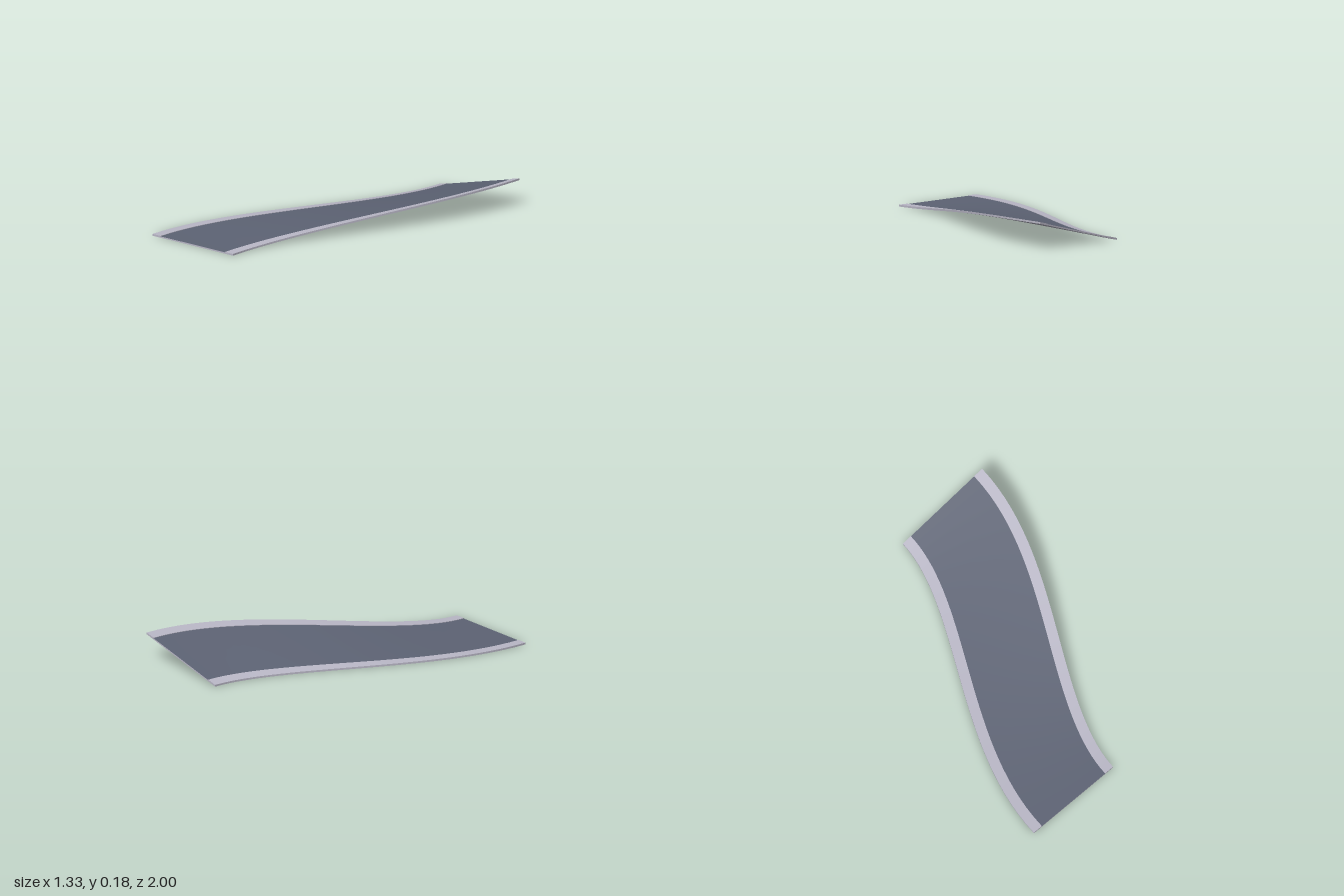
import * as THREE from 'three';

const HALF = 1 / 3;        // half of the track width
const RISE = 0.168;        // height gained by the outer edge
const CURB = 0.012, ROAD = 0.009, INNER = 0.8;
const STEPS = 32;

// Point on the track: t runs front to back, u across (-1..1), v is height above the underside
function trackPoint(t, u, v) {
  const f = t * t * (3 - 2 * t);
  const slope = 2 * HALF * 6 * t * (1 - t);
  const len = Math.hypot(2, slope);
  return [
    -HALF + 2 * HALF * f + u * HALF * 2 / len,
    RISE * f * (u + 1) / 2 + v,
    1 - 2 * t + u * HALF * slope / len,
  ];
}

function geometry(positions, index) {
  const g = new THREE.BufferGeometry();
  g.setAttribute('position', new THREE.Float32BufferAttribute(positions, 3));
  g.setIndex(index);
  g.computeVertexNormals();
  return g;
}

// Ribbon swept along the track between two cross-section points [u, v]
function ribbon(a, b) {
  const pos = [], idx = [];
  for (let i = 0; i <= STEPS; i++) {
    pos.push(...trackPoint(i / STEPS, ...a), ...trackPoint(i / STEPS, ...b));
    if (i < STEPS) {
      const k = i * 2;
      idx.push(k, k + 1, k + 3, k, k + 3, k + 2);
    }
  }
  return geometry(pos, idx);
}

// Flat end face of one cross-section block
function cap(t, u0, u1, h) {
  const pos = [[u0, 0], [u1, 0], [u1, h], [u0, h]].flatMap(p => trackPoint(t, ...p));
  return geometry(pos, t === 0 ? [0, 1, 2, 0, 2, 3] : [0, 2, 1, 0, 3, 2]);
}

export function createModel() {
  const model = new THREE.Group();
  model.name = 'bankedTrack';
  const curbMat = new THREE.MeshStandardMaterial({ color: 0xb9b7c6 });
  curbMat.name = 'pale grey';
  const roadMat = new THREE.MeshStandardMaterial({ color: 0x5d6374 });
  roadMat.name = 'slate asphalt';

  const add = (name, geo, mat) => {
    const mesh = new THREE.Mesh(geo, mat);
    mesh.name = name;
    model.add(mesh);
  };

  // Asphalt, slightly below the curbs
  add('roadSurface', ribbon([-INNER, ROAD], [INNER, ROAD]), roadMat);

  // Curbs: top, outer wall and inner lip on each side
  add('rightCurbTop', ribbon([-1, CURB], [-INNER, CURB]), curbMat);
  add('rightCurbWall', ribbon([-1, 0], [-1, CURB]), curbMat);
  add('rightCurbLip', ribbon([-INNER, CURB], [-INNER, ROAD]), curbMat);
  add('leftCurbTop', ribbon([INNER, CURB], [1, CURB]), curbMat);
  add('leftCurbWall', ribbon([1, CURB], [1, 0]), curbMat);
  add('leftCurbLip', ribbon([INNER, ROAD], [INNER, CURB]), curbMat);

  // Underside and end faces
  add('underside', ribbon([1, 0], [-1, 0]), curbMat);
  for (const [t, end] of [[0, 'front'], [1, 'back']]) {
    add(end + 'RightCurbEnd', cap(t, -1, -INNER, CURB), curbMat);
    add(end + 'RoadEnd', cap(t, -INNER, INNER, ROAD), curbMat);
    add(end + 'LeftCurbEnd', cap(t, INNER, 1, CURB), curbMat);
  }
  return model;
}
